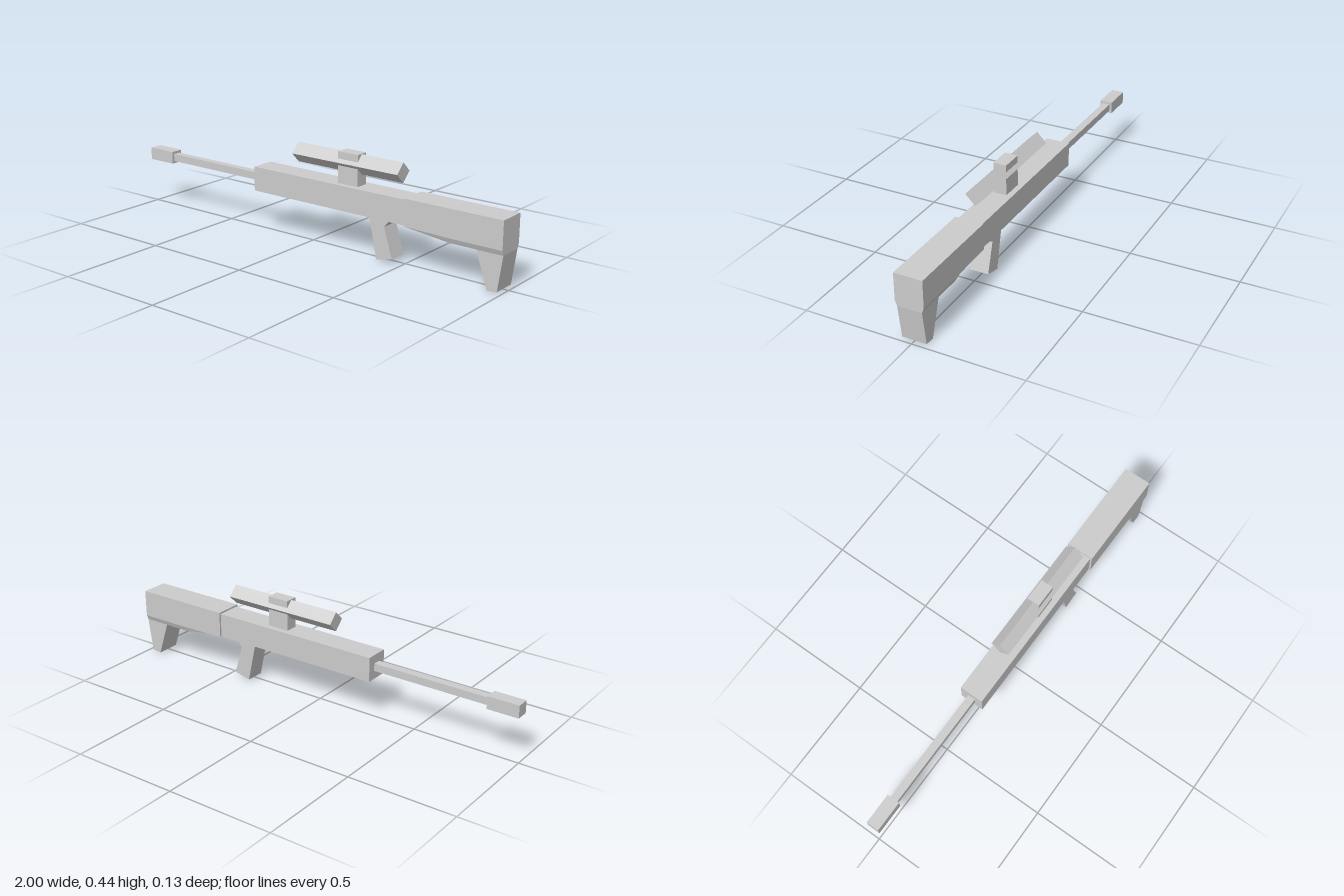
import * as THREE from 'three';

const material = new THREE.MeshStandardMaterial({ color: 0xcccccc, flatShading: true });

export function createModel() {
  const group = new THREE.Group();

  const add = (name, geometry) => {
    const mesh = new THREE.Mesh(geometry, material);
    mesh.name = name;
    group.add(mesh);
    return mesh;
  };

  // Box given by its x range, y range and half depth
  const box = (name, x0, x1, y0, y1, halfZ) =>
    add(name, new THREE.BoxGeometry(x1 - x0, y1 - y0, halfZ * 2))
      .position.set((x0 + x1) / 2, (y0 + y1) / 2, 0);

  // Side profile extruded evenly about z = 0
  const slab = (name, points, halfZ) => {
    const shape = new THREE.Shape(points.map(([x, y]) => new THREE.Vector2(x, y)));
    const geometry = new THREE.ExtrudeGeometry(shape, { depth: halfZ * 2, bevelEnabled: false });
    add(name, geometry.translate(0, 0, -halfZ));
  };

  // Barrel line and body
  box('muzzle', -1, -0.855, 0.217, 0.275, 0.03);
  box('barrel', -0.855, -0.3, 0.228, 0.263, 0.018);
  box('receiver', -0.3, 0.53, 0.19, 0.303, 0.056);

  // Sight: a square tube turned on edge, held by a block
  const scope = new THREE.CylinderGeometry(0.045, 0.045, 0.565, 4);
  add('scope', scope.rotateZ(Math.PI / 2)).position.set(0.1975, 0.398, 0);
  box('scopeMount', 0.16, 0.265, 0.3, 0.445, 0.03);

  // Raked hand grip
  slab('grip', [[0.338, 0.192], [0.38, 0.004], [0.46, 0.022], [0.418, 0.16], [0.445, 0.192]], 0.044);

  // Stock: cross-sections along x, with a tapering lower edge
  const sections = [
    // x, side bottom, underside, underside half depth
    [0.53, 0.19, 0.188, 0.035],
    [0.75, 0.185, 0.162, 0.056],
    [1, 0.185, 0.162, 0.056],
  ].map(([x, low, bottom, half]) => [
    [x, 0.311, 0.065], [x, low, 0.065], [x, bottom, half],
    [x, bottom, -half], [x, low, -0.065], [x, 0.311, -0.065],
  ]);
  const corners = [];
  const tri = (a, b, c) => corners.push(...a, ...b, ...c);
  for (let s = 0; s < sections.length - 1; s++) {
    const [a, b] = [sections[s], sections[s + 1]];
    for (let i = 0; i < 6; i++) {
      const j = (i + 1) % 6;
      tri(a[i], a[j], b[j]);
      tri(a[i], b[j], b[i]);
    }
  }
  const [first, last] = [sections[0], sections[2]];
  for (let i = 1; i < 5; i++) {
    tri(first[0], first[i + 1], first[i]);
    tri(last[0], last[i], last[i + 1]);
  }
  const stock = new THREE.BufferGeometry();
  stock.setAttribute('position', new THREE.Float32BufferAttribute(corners, 3));
  stock.computeVertexNormals();
  add('stock', stock);

  // Tapered heel under the back of the stock
  slab('stockHeel', [[0.876, 0.163], [0.932, 0], [0.978, 0.004], [1, 0.163]], 0.056);

  return group;
}
